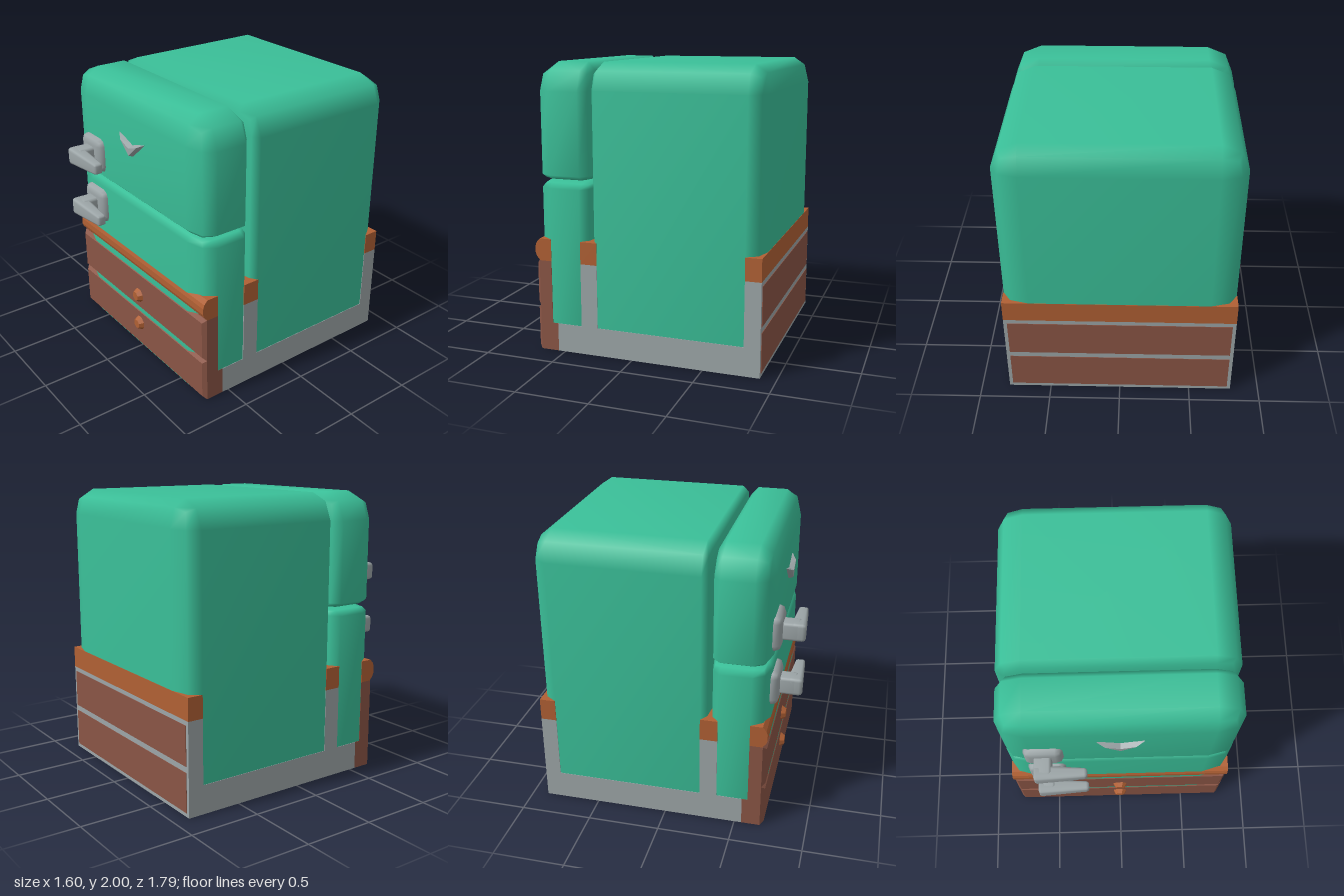
import * as THREE from 'three';
import { mergeVertices } from 'three/addons/utils/BufferGeometryUtils.js';
import { ConvexGeometry } from 'three/addons/geometries/ConvexGeometry.js';

const mat = (name, color) => Object.assign(new THREE.MeshStandardMaterial({ color }), { name });

// Soft-cornered box: lo/hi are the corners, rLo/rHi the rounding on the low and high side of each axis
function softBox(lo, hi, rLo, rHi = rLo) {
  let g = new THREE.BoxGeometry(1, 1, 1, 3, 3, 3);
  g.deleteAttribute('uv');
  g.deleteAttribute('normal');
  g = mergeVertices(g);
  const p = g.attributes.position;
  for (let i = 0; i < p.count; i++) {
    const raw = [p.getX(i), p.getY(i), p.getZ(i)];
    const dir = new THREE.Vector3(...raw.map(v => (Math.abs(v) > 0.4 ? Math.sign(v) : 0))).normalize().toArray();
    const v = raw.map((s, k) => (s < 0 ? lo[k] + rLo[k] + dir[k] * rLo[k] : hi[k] - rHi[k] + dir[k] * rHi[k]));
    p.setXYZ(i, ...v);
  }
  g.computeVertexNormals();
  return g;
}

function flat(g) {
  const f = g.toNonIndexed();
  f.computeVertexNormals();
  return f;
}

// Plain box from its two corners
function block(lo, hi) {
  const g = new THREE.BoxGeometry(...hi.map((h, k) => h - lo[k]));
  return g.translate(...hi.map((h, k) => (h + lo[k]) / 2));
}

// Full-width drawer whose front face is inset by a narrow bevel
function drawerGeometry(y0, y1) {
  const g = new THREE.BoxGeometry(1.6, y1 - y0, 2, 1, 1, 2);
  const p = g.attributes.position;
  const inset = 0.024;
  for (let i = 0; i < p.count; i++) {
    const z = p.getZ(i);
    if (z > 0.5) {
      p.setX(i, p.getX(i) - Math.sign(p.getX(i)) * inset);
      p.setY(i, p.getY(i) - Math.sign(p.getY(i)) * inset);
    }
    p.setZ(i, z < -0.5 ? 0.59 : z > 0.5 ? 0.705 : 0.68);
  }
  return flat(g.translate(0, (y0 + y1) / 2, 0));
}

export function createModel() {
  const root = new THREE.Group();
  const green = mat('greenEnamel', 0x3abf98);
  const brown = mat('brownWood', 0x8a5545);
  const orange = mat('orangeWood', 0xb06034);
  const grey = mat('greyMetal', 0x9ca5a7);
  const add = (name, geometry, material, parent = root) => {
    const m = new THREE.Mesh(geometry, material);
    m.name = name;
    parent.add(m);
    return m;
  };

  // Cabinet and the two doors
  add('cabinet', softBox([-0.797, 0.004, -0.888], [0.797, 2, 0.303],
    [0.18, 0.01, 0.11], [0.18, 0.18, 0.05]), green);
  add('upperDoor', softBox([-0.797, 1.2, 0.303], [0.797, 2, 0.7],
    [0.19, 0.045, 0.07], [0.19, 0.19, 0.11]), green);
  add('lowerDoor', softBox([-0.797, 0.004, 0.303], [0.797, 1.2, 0.7],
    [0.19, 0.01, 0.07], [0.19, 0.045, 0.11]), green);

  // Metal base with posts and wooden caps on both sides
  const base = new THREE.Group();
  base.name = 'baseFrame';
  root.add(base);
  for (const s of [-1, 1]) {
    const xs = s < 0 ? [-0.8, -0.6] : [0.6, 0.8];
    add('sideRail', block([xs[0], 0, -0.89], [xs[1], 0.2, 0.55]), grey, base);
    add('middlePost', block([xs[0], 0.2, 0.25], [xs[1], 0.645, 0.37]), grey, base);
    add('middlePostCap', block([xs[0], 0.645, 0.25], [xs[1], 0.8, 0.37]), orange, base);
  }
  add('crossRail', block([-0.6, 0, 0.25], [0.6, 0.2, 0.37]), grey, base);
  add('backWall', block([-0.8, 0, -0.89], [0.8, 0.645, -0.78]), grey, base);
  add('backWallCap', block([-0.8, 0.645, -0.89], [0.8, 0.8, -0.78]), orange, base);
  add('undersideDisc', new THREE.CylinderGeometry(0.345, 0.345, 0.008, 32).translate(0, 0.004, -0.07), grey, base);

  // Thin wooden panels on the back
  for (const y of [0.028, 0.342]) {
    add('backPanel', block([-0.775, y, -0.894], [0.775, y + 0.272, -0.888]), brown);
  }

  // Drawers with round knobs
  add('drawerFoot', block([-0.8, 0, 0.55], [0.8, 0.2, 0.6]), brown);
  for (const [y0, y1, knobY] of [[0, 0.322, 0.205], [0.322, 0.645, 0.445]]) {
    add('drawer', drawerGeometry(y0, y1), brown);
    const knob = new THREE.CylinderGeometry(0.035, 0.056, 0.035, 8).rotateY(Math.PI / 8).rotateX(Math.PI / 2);
    add('drawerKnob', flat(knob.translate(0, knobY, 0.72)), orange);
  }

  // Rounded wooden rail above the drawers, drawn as (-z, y) and swept along x
  const profile = [[0.59, 0.645], [0.675, 0.645], [0.7, 0.675], [0.709, 0.7],
    [0.709, 0.745], [0.7, 0.772], [0.675, 0.8], [0.59, 0.8]];
  const rail = new THREE.ExtrudeGeometry(
    new THREE.Shape(profile.map(([z, y]) => new THREE.Vector2(-z, y))),
    { depth: 1.6, bevelEnabled: false });
  add('frontRail', rail.rotateY(Math.PI / 2).translate(-0.8, 0, 0), orange);

  // Lever handles
  for (const y of [1.0, 1.4]) {
    const handle = new THREE.Group();
    handle.name = 'doorHandle';
    handle.position.y = y;
    root.add(handle);
    add('handlePlate', softBox([-0.65, -0.127, 0.66], [-0.385, 0.127, 0.746],
      [0.05, 0.05, 0.02], [0.05, 0.05, 0.04]), grey, handle);
    add('handleNeck', softBox([-0.58, -0.062, 0.72], [-0.46, 0.062, 0.86], [0.02, 0.02, 0.02]), grey, handle);
    const lever = softBox([-0.58, -0.065, 0.785], [-0.225, 0.065, 0.893], [0.02, 0.025, 0.025]);
    // Taper towards the free end
    const p = lever.attributes.position;
    for (let i = 0; i < p.count; i++) {
      const t = (p.getX(i) + 0.58) / 0.355;
      p.setY(i, p.getY(i) * (1 - 0.42 * t));
      p.setZ(i, 0.842 + (p.getZ(i) - 0.839) * (1 - 0.42 * t));
    }
    lever.computeVertexNormals();
    add('handleLever', lever, grey, handle);
  }

  // Faceted chevron trim on the upper door
  for (const s of [-1, 1]) {
    const points = [[0.155, 1.67, 0.69], [0.155, 1.67, 0.705], [0.1, 1.642, 0.735], [0, 1.605, 0.735],
      [0, 1.553, 0.735], [0, 1.625, 0.69], [0, 1.535, 0.69]];
    add('chevronTrim', new ConvexGeometry(points.map(([x, y, z]) => new THREE.Vector3(s * x, y, z))), grey);
  }

  return root;
}
